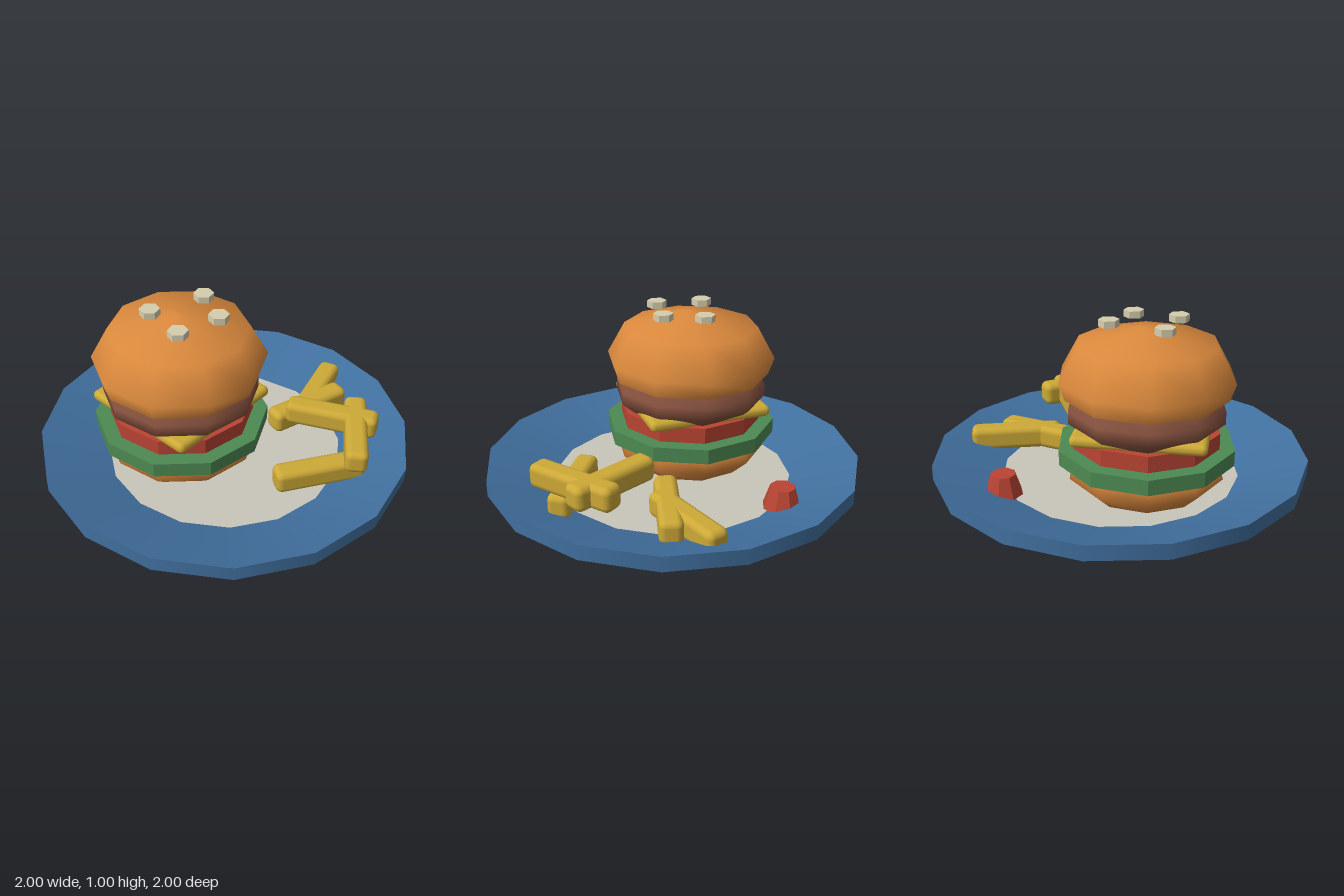
import * as THREE from 'three';
import { RoundedBoxGeometry } from 'three/addons/geometries/RoundedBoxGeometry.js';

const mat = (name, color, flatShading = false) => {
  const m = new THREE.MeshStandardMaterial({ color, flatShading });
  m.name = name;
  return m;
};

export function createModel() {
  const group = new THREE.Group();
  const cream = mat('cream', 0xc9c5bb);
  const blue = mat('blue', 0x41709f);
  const bun = mat('bun', 0xd9883c);
  const green = mat('lettuce green', 0x4d8a52, true);
  const red = mat('tomato red', 0xb94433, true);
  const brown = mat('patty brown', 0x84503d);
  const yellow = mat('golden yellow', 0xcda937);
  const seedColor = mat('seed', 0xd6cdae, true);

  const add = (name, geometry, material, x = 0, y = 0, z = 0) => {
    const mesh = new THREE.Mesh(geometry, material);
    mesh.name = name;
    mesh.position.set(x, y, z);
    group.add(mesh);
    return mesh;
  };
  // Profiles run from the bottom centre outward and up
  const lathe = (points, sides, start = 0) =>
    new THREE.LatheGeometry(points.map(p => new THREE.Vector2(...p)), sides, start);

  // Plate: separate bands keep the edges between them sharp
  add('plateUnderside', lathe([[0, 0], [0.61, 0], [1, 0.15]], 16), cream);
  add('plateEdge', lathe([[1, 0.15], [1, 0.23]], 16), blue);
  add('plateRim', lathe([[1, 0.23], [0.64, 0.11]], 16), blue);
  add('plateCentre', lathe([[0.64, 0.11], [0, 0.11]], 16), cream);

  // Burger: ten-sided layers with a corner towards +x
  const bx = -0.23, sides = 10, turn = Math.PI / 2;
  const disc = (name, r, y0, y1, material) =>
    add(name, new THREE.CylinderGeometry(r, r, y1 - y0, sides, 1, false, turn), material, bx, (y0 + y1) / 2);

  add('bottomBun', lathe([[0, 0.105], [0.31, 0.105], [0.41, 0.2], [0.38, 0.285], [0, 0.285]], sides, turn), bun, bx);
  disc('lettuce', 0.463, 0.285, 0.365, green);
  disc('tomato', 0.385, 0.365, 0.45, red);
  const cheese = add('cheese', new RoundedBoxGeometry(0.67, 0.06, 0.67, 2, 0.028), yellow, bx, 0.47);
  cheese.rotation.y = Math.PI / 4;
  add('patty', lathe([[0, 0.445], [0.34, 0.445], [0.41, 0.505], [0.41, 0.57], [0.35, 0.64], [0, 0.64]], sides, turn), brown, bx);
  add('topBunBase', lathe([[0, 0.63], [0.425, 0.63]], sides, turn), bun, bx);
  add('topBun', lathe([[0.425, 0.63], [0.455, 0.72], [0.36, 0.89], [0.06, 0.963], [0, 0.97]], sides, turn), bun, bx);

  // Sesame seeds
  for (const [x, z] of [[-0.37, 0], [-0.1, -0.14], [-0.03, 0.065], [-0.23, 0.2]]) {
    add('seed', new THREE.CylinderGeometry(0.053, 0.053, 0.036, 6, 1, false, turn), seedColor, x, 0.982, z);
  }

  // Sauce blob
  add('sauce', new THREE.CylinderGeometry(0.065, 0.1, 0.11, 8), red, 0.1, 0.172, -0.66);

  // Fries: start and end points in plan, and centre height
  const fries = [
    [0.67, -0.555, 0.43, -0.115, 0.19],
    [0.27, -0.085, 0.695, -0.325, 0.19],
    [0.24, 0.385, 0.72, 0.28, 0.19],
    [0.345, -0.03, 0.81, 0.14, 0.325],
    [0.72, -0.05, 0.645, 0.445, 0.325],
  ];
  for (const [x0, z0, x1, z1, y] of fries) {
    const length = Math.hypot(x1 - x0, z1 - z0);
    const fry = add('fry', new RoundedBoxGeometry(0.12, 0.13, length, 2, 0.035), yellow, (x0 + x1) / 2, y, (z0 + z1) / 2);
    fry.rotation.y = Math.atan2(x1 - x0, z1 - z0);
  }
  return group;
}
